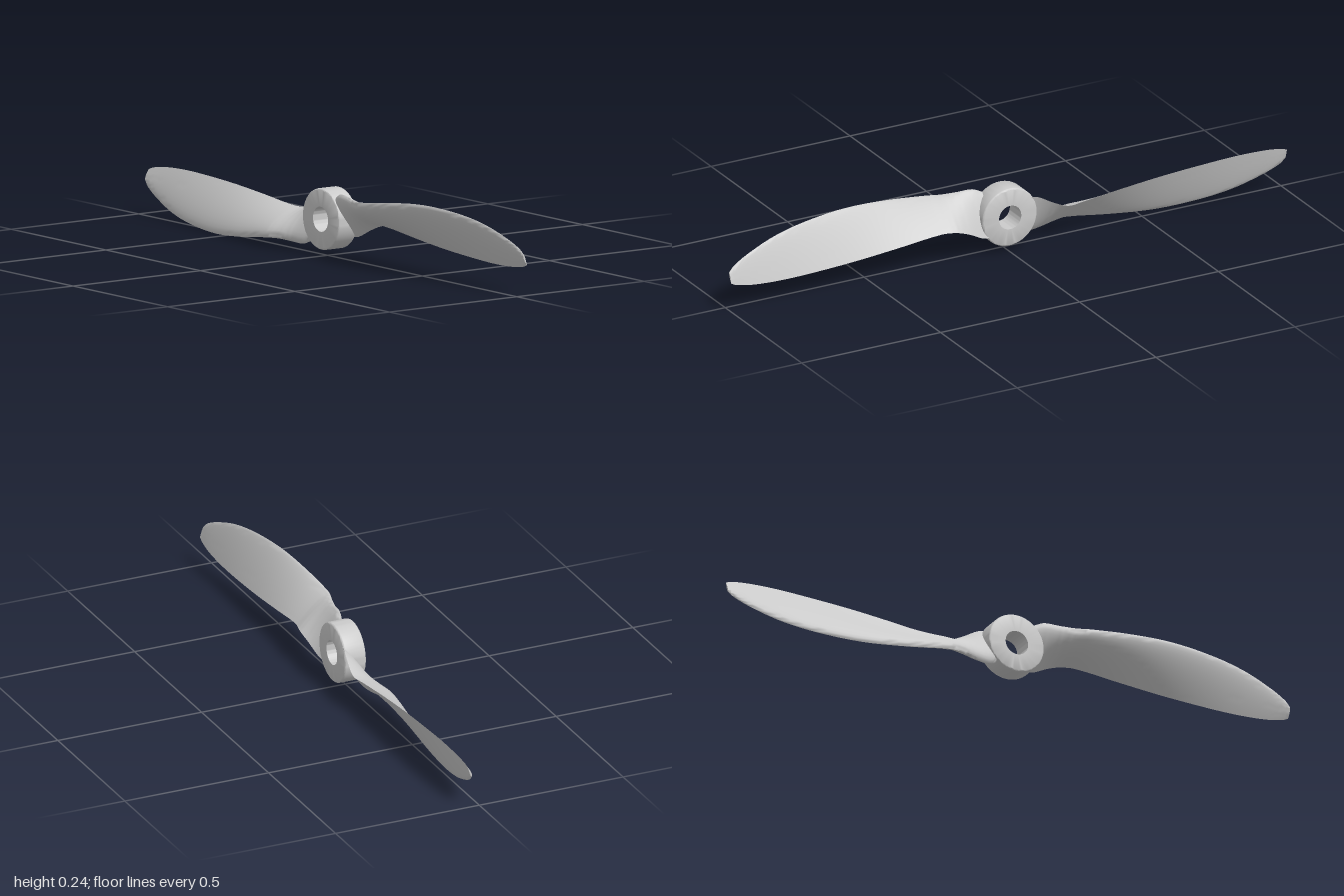
import * as THREE from 'three';
import { toCreasedNormals } from 'three/addons/utils/BufferGeometryUtils.js';

const AXIS_Y = 0.12; // height of the shaft axis

// Blade stations: x, leading edge (y, z), trailing edge (y, z), thickness.
// Heights are measured from the shaft axis.
const STATIONS = [
  [0.068, 0.080, 0.014, -0.056, -0.046, 0.026],
  [0.10, 0.092, 0.022, -0.050, -0.050, 0.030],
  [0.15, 0.090, 0.030, -0.024, -0.059, 0.034],
  [0.20, 0.086, 0.045, -0.005, -0.065, 0.034],
  [0.25, 0.088, 0.057, -0.003, -0.056, 0.030],
  [0.40, 0.107, 0.047, -0.018, -0.053, 0.024],
  [0.55, 0.118, 0.032, -0.031, -0.052, 0.020],
  [0.70, 0.111, 0.015, -0.039, -0.051, 0.016],
  [0.82, 0.092, 0.000, -0.042, -0.049, 0.013],
  [0.92, 0.060, -0.014, -0.038, -0.046, 0.010],
  [0.98, 0.032, -0.023, -0.029, -0.042, 0.008],
  [1.00, 0.014, -0.027, -0.021, -0.040, 0.006],
];

// Monotone-friendly cubic interpolation between stations
function stationAt(k, t) {
  const at = (i) => STATIONS[Math.min(Math.max(i, 0), STATIONS.length - 1)];
  const [a, b, c, d] = [at(k - 1), at(k), at(k + 1), at(k + 2)];
  const hermite = (j) => {
    const h = c[0] - b[0];
    const m0 = (c[j] - a[j]) / (c[0] - a[0]) * h;
    const m1 = (d[j] - b[j]) / (d[0] - b[0]) * h;
    const t2 = t * t, t3 = t2 * t;
    return (2 * t3 - 3 * t2 + 1) * b[j] + (t3 - 2 * t2 + t) * m0
      + (3 * t2 - 2 * t3) * c[j] + (t3 - t2) * m1;
  };
  return [b[0] + (c[0] - b[0]) * t, ...[1, 2, 3, 4, 5].map(hermite)];
}

// Airfoil loop: rounded front from leading to trailing edge, flatter back
function addSection(positions, [x, ly, lz, ty, tz, thick], n) {
  const dy = ty - ly, dz = tz - lz, len = Math.hypot(dy, dz);
  const ny = dz / len, nz = -dy / len;
  for (let j = 0; j < 2 * n; j++) {
    const front = j <= n;
    const s = (1 - Math.cos(Math.PI * (front ? j : 2 * n - j) / n)) / 2;
    const profile = Math.sqrt(s) * (1 - s) / 0.385;
    const off = thick * profile * (front ? 0.75 : -0.25);
    positions.push(x, ly + dy * s + ny * off, lz + dz * s + nz * off);
  }
}

function bladeGeometry() {
  const n = 14, ring = 2 * n, steps = 5;
  const positions = [], index = [];
  const sections = [];
  for (let k = 0; k < STATIONS.length - 1; k++)
    for (let i = 0; i < steps; i++) sections.push(stationAt(k, i / steps));
  sections.push(STATIONS[STATIONS.length - 1]);
  sections.forEach((s) => addSection(positions, s, n));

  // skin
  for (let i = 0; i < sections.length - 1; i++) {
    for (let j = 0; j < ring; j++) {
      const a = i * ring + j, b = i * ring + (j + 1) % ring;
      index.push(a, b, a + ring, b, b + ring, a + ring);
    }
  }
  // root and tip caps
  const last = (sections.length - 1) * ring;
  for (let j = 1; j < ring - 1; j++) {
    index.push(0, j + 1, j);
    index.push(last, last + j, last + j + 1);
  }
  const geometry = new THREE.BufferGeometry();
  geometry.setAttribute('position', new THREE.Float32BufferAttribute(positions, 3));
  geometry.setIndex(index);
  return toCreasedNormals(geometry, 0.9);
}

// Ring-shaped hub with a shaft bore and softened outer edges
function hubGeometry() {
  const bore = 0.04, radius = 0.098, back = -0.047, front = 0.028, r = 0.007;
  const profile = [new THREE.Vector2(bore, back)];
  for (let i = 0; i <= 4; i++) {
    const a = (i / 4) * Math.PI / 2;
    profile.push(new THREE.Vector2(radius - r + r * Math.sin(a), back + r - r * Math.cos(a)));
  }
  for (let i = 0; i <= 4; i++) {
    const a = (i / 4) * Math.PI / 2;
    profile.push(new THREE.Vector2(radius - r + r * Math.cos(a), front - r + r * Math.sin(a)));
  }
  profile.push(new THREE.Vector2(bore, front), new THREE.Vector2(bore, back));
  const geometry = new THREE.LatheGeometry(profile, 64);
  geometry.rotateX(Math.PI / 2);
  return toCreasedNormals(geometry, 0.6);
}

export function createModel() {
  const model = new THREE.Group();
  model.name = 'propeller';
  const material = new THREE.MeshStandardMaterial({ color: 0xcccccc });

  const hub = new THREE.Mesh(hubGeometry(), material);
  hub.name = 'hub';
  hub.position.y = AXIS_Y;
  model.add(hub);

  // two identical blades, half a turn apart
  const blade = bladeGeometry();
  ['leftBlade', 'rightBlade'].forEach((name, i) => {
    const mesh = new THREE.Mesh(blade, material);
    mesh.name = name;
    mesh.position.y = AXIS_Y;
    mesh.rotation.z = i * Math.PI;
    model.add(mesh);
  });
  return model;
}
